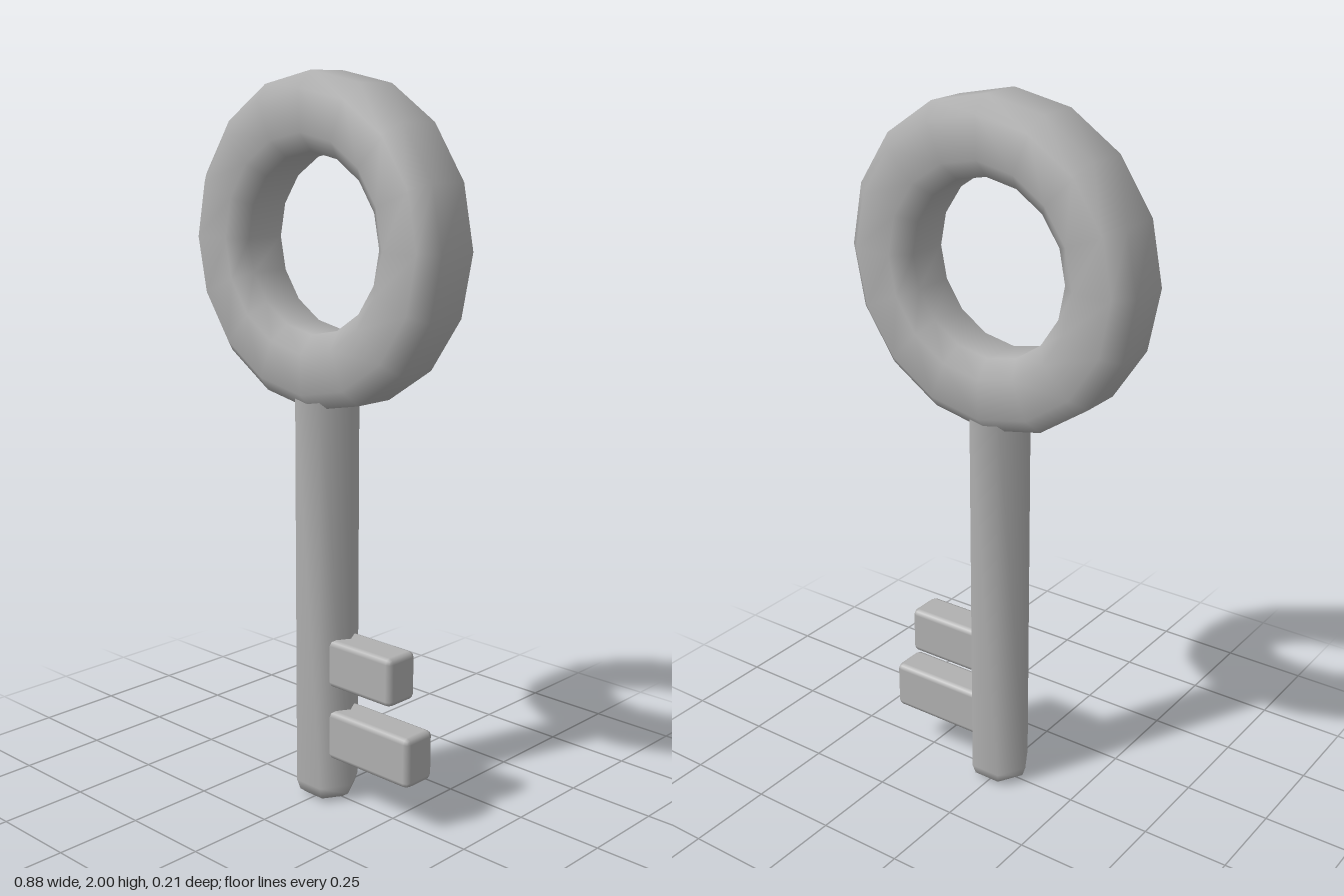
import * as THREE from 'three';
import { mergeVertices } from 'three/addons/utils/BufferGeometryUtils.js';
import { RoundedBoxGeometry } from 'three/addons/geometries/RoundedBoxGeometry.js';

const greyMetal = new THREE.MeshStandardMaterial({ color: 0xb0b0b0 });
greyMetal.name = 'greyMetal';

// Turned shape with fully shared vertices, so shading runs smoothly over every seam
function turned(profile, sides) {
  const points = profile.map(([r, y]) => new THREE.Vector2(r, y));
  let geometry = new THREE.LatheGeometry(points, sides, Math.PI / 2);
  geometry.deleteAttribute('uv');
  geometry.deleteAttribute('normal');
  geometry = mergeVertices(geometry, 1e-4);
  geometry.computeVertexNormals();
  return geometry;
}

export function createModel() {
  const key = new THREE.Group();
  key.name = 'key';

  function add(name, geometry, x, y, z) {
    const mesh = new THREE.Mesh(geometry, greyMetal);
    mesh.name = name;
    mesh.position.set(x, y, z);
    key.add(mesh);
    return mesh;
  }

  // Ring handle: eight-sided section swept round sixteen segments
  const section = [
    [0.44, -0.06], [0.44, 0.06], [0.395, 0.103], [0.285, 0.103],
    [0.237, 0.06], [0.237, -0.06], [0.285, -0.103], [0.395, -0.103], [0.44, -0.06],
  ];
  add('ringHandle', turned(section, 16), 0, 1.56, 0).rotation.x = Math.PI / 2;

  // Six-sided shaft with a softened tip, its top buried in the ring
  const shaft = [[0, 0], [0.06, 0.002], [0.08, 0.016], [0.09, 0.045], [0.09, 1.2]];
  add('shaft', turned(shaft, 6), 0, 0, 0);

  // Teeth: bevelled blocks rooted inside the shaft
  const root = 0.02;
  for (const [name, tip, bottom, top] of [
    ['upperTooth', 0.28, 0.345, 0.482],
    ['lowerTooth', 0.345, 0.132, 0.274],
  ]) {
    const block = new RoundedBoxGeometry(tip - root, top - bottom, 0.106, 1, 0.016);
    add(name, block, (tip + root) / 2, (top + bottom) / 2, 0);
  }

  return key;
}
